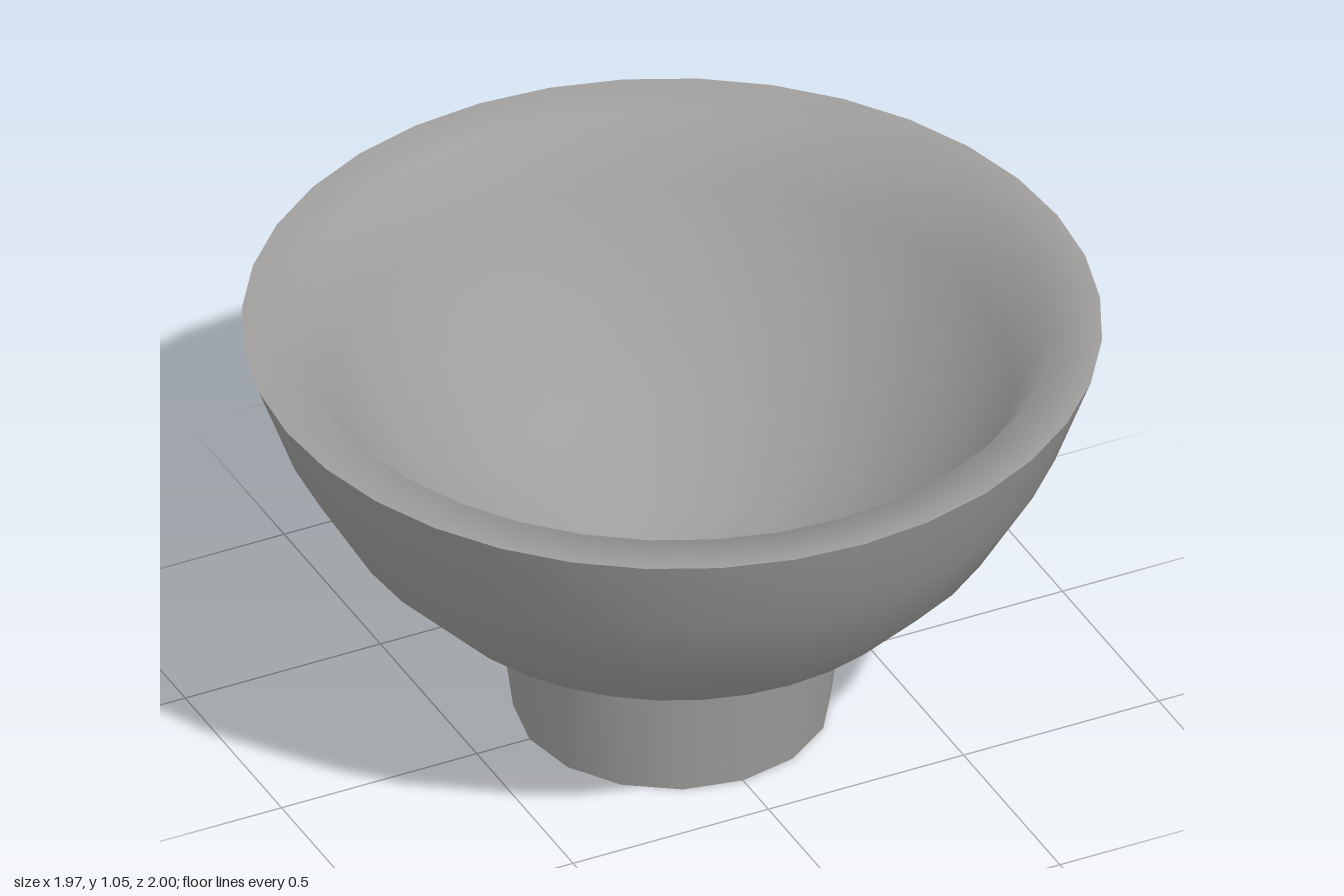
import * as THREE from 'three';

const stone = new THREE.MeshStandardMaterial({ color: 0x9f9e9d });
stone.name = 'grey clay';

// Slight hand-made lean and ovalness
function lean(geometry) {
  const p = geometry.attributes.position;
  for (let i = 0; i < p.count; i++) {
    const x = p.getX(i), z = p.getZ(i);
    p.setX(i, x * 0.987);
    p.setY(i, Math.max(0, p.getY(i) + 0.005 * x - 0.003 * z));
  }
  return geometry;
}

function lathe(profile, segments) {
  return lean(new THREE.LatheGeometry(profile.map(([r, y]) => new THREE.Vector2(r, y)), segments));
}

export function createModel() {
  const group = new THREE.Group();
  group.name = 'footedBowl';
  const add = (name, geometry) => {
    const mesh = new THREE.Mesh(geometry, stone);
    mesh.name = name;
    group.add(mesh);
  };

  // Outer wall, from the foot joint up to the rim
  add('outerWall', lathe([
    [0.39, 0.295], [0.41, 0.303], [0.615, 0.42], [0.78, 0.59], [0.913, 0.815], [1, 1.047],
  ], 36));

  // Flat rim rolling smoothly into the hollow
  add('rimAndHollow', lathe([
    [1, 1.047], [0.88, 1.045], [0.79, 0.89], [0.64, 0.7], [0.45, 0.53], [0.23, 0.41], [0, 0.37],
  ], 36));

  // Tapered foot, closed below
  const foot = new THREE.CylinderGeometry(0.41, 0.37, 0.3, 16);
  foot.translate(0, 0.156, 0);
  add('foot', lean(foot));

  return group;
}
